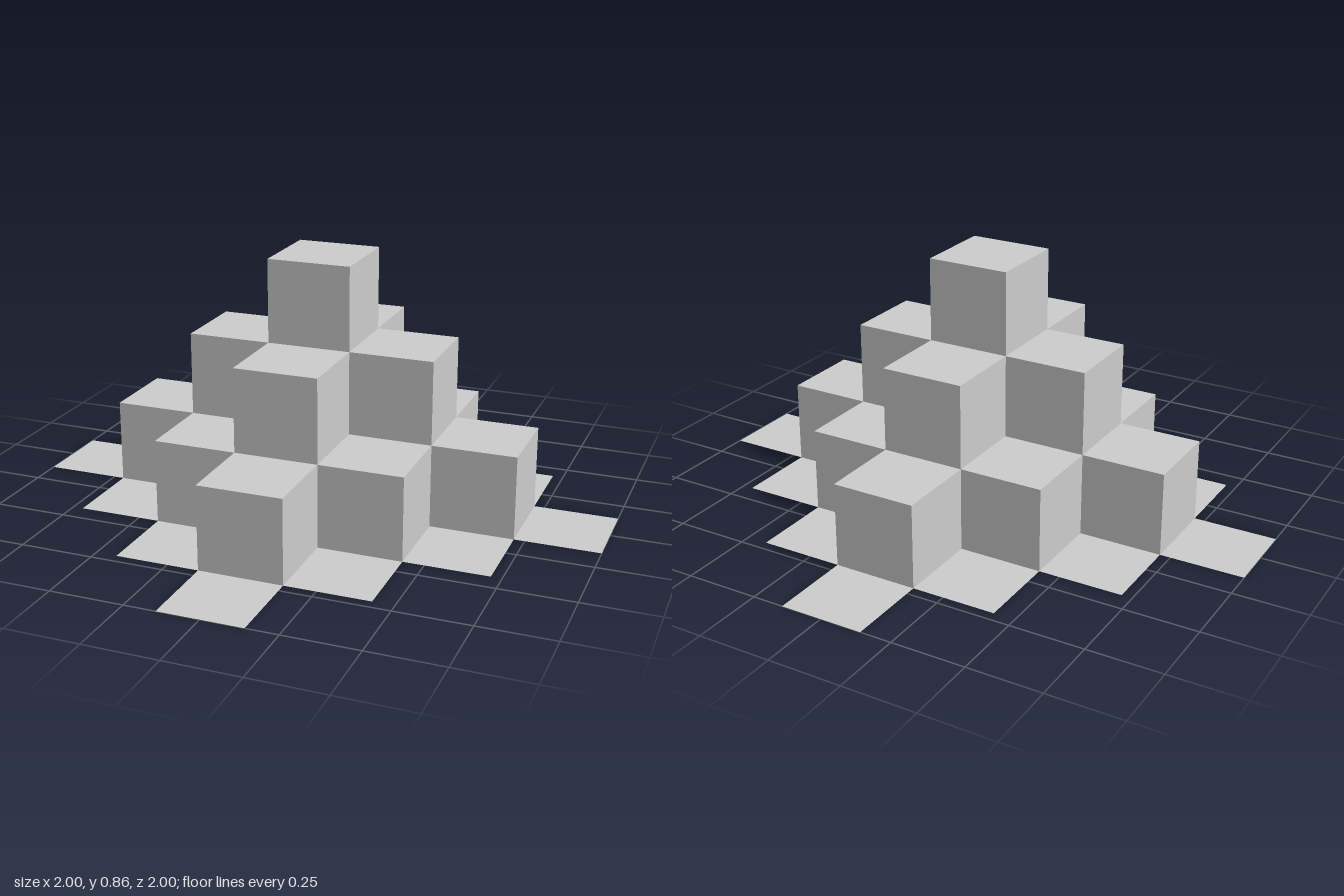
import * as THREE from 'three';
import { mergeGeometries } from 'three/addons/utils/BufferGeometryUtils.js';

const R = 3;                // steps from the centre to the tip
const U = 2 / (2 * R + 1);  // edge length of one cube
const DIRECTIONS = [[1, 0], [-1, 0], [0, 1], [0, -1]];

// Terrace height, in cubes, of the grid cell (i, j)
const level = (i, j) => Math.max(0, R - Math.abs(i) - Math.abs(j));

// Stepped diamond outline, one quarter at a time
function diamondShape() {
  const points = [];
  for (let q = 0; q < 4; q++) {
    for (let k = 0; k <= R; k++) {
      for (const side of [-0.5, 0.5]) {
        const p = new THREE.Vector2((R - k + 0.5) * U, (k + side) * U);
        if (k === 0 && side < 0) continue; // shared with the previous quarter
        points.push(p.rotateAround(new THREE.Vector2(), q * Math.PI / 2));
        if (k < R && side > 0) {
          points.push(new THREE.Vector2((R - k - 0.5) * U, (k + 0.5) * U)
            .rotateAround(new THREE.Vector2(), q * Math.PI / 2));
        }
      }
    }
  }
  // Drop repeated corners
  return new THREE.Shape(points.filter((p, n) =>
    p.distanceTo(points[(n + 1) % points.length]) > 1e-6));
}

// Exposed tops and walls of the cubes that end at terrace h
function tierGeometry(h) {
  const faces = [];
  for (let i = -R; i <= R; i++) {
    for (let j = -R; j <= R; j++) {
      if (level(i, j) !== h) continue;
      faces.push(new THREE.PlaneGeometry(U, U).rotateX(-Math.PI / 2)
        .translate(i * U, h * U, j * U));
      for (const [dx, dz] of DIRECTIONS) {
        if (level(i + dx, j + dz) >= h) continue;
        faces.push(new THREE.PlaneGeometry(U, U).rotateY(Math.atan2(dx, dz))
          .translate((i + dx / 2) * U, (h - 0.5) * U, (j + dz / 2) * U));
      }
    }
  }
  return mergeGeometries(faces);
}

export function createModel() {
  const group = new THREE.Group();
  group.name = 'steppedPyramid';
  const material = new THREE.MeshStandardMaterial({
    color: 0xcccccc, flatShading: true, side: THREE.DoubleSide,
  });
  const add = (name, geometry) => {
    const mesh = new THREE.Mesh(geometry, material);
    mesh.name = name;
    group.add(mesh);
  };

  // Paper-thin ground sheet
  add('baseSheet', new THREE.ShapeGeometry(diamondShape()).rotateX(-Math.PI / 2));

  // Terraces of cubes
  ['lowerTier', 'middleTier', 'topCube'].forEach((name, n) => add(name, tierGeometry(n + 1)));
  return group;
}
